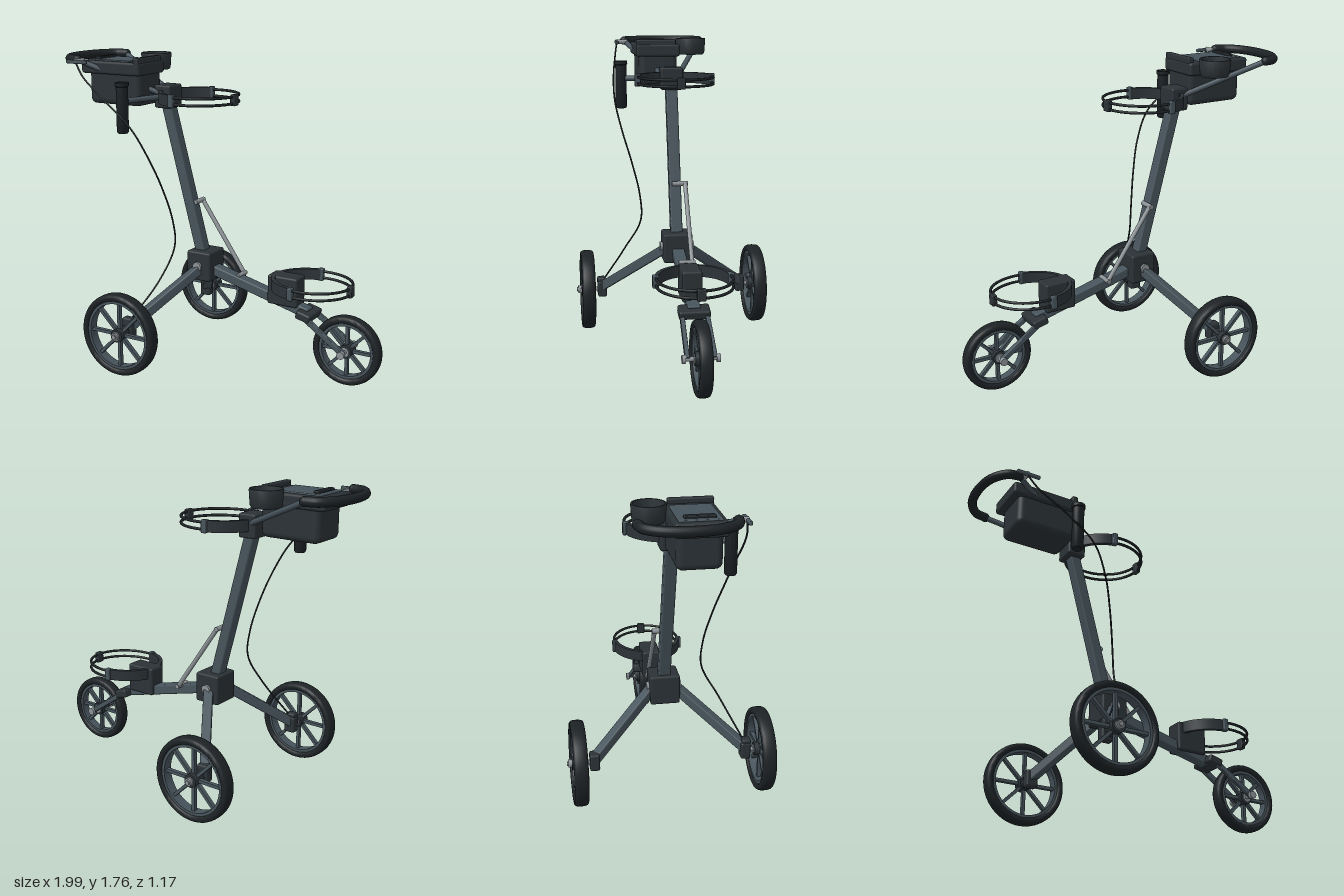
import * as THREE from 'three';
import { RoundedBoxGeometry } from 'three/addons/geometries/RoundedBoxGeometry.js';
import { toCreasedNormals } from 'three/addons/utils/BufferGeometryUtils.js';

const mat = (color) => new THREE.MeshStandardMaterial({ color });
const V = (x, y, z) => new THREE.Vector3(x, y, z);

export function createModel() {
  const model = new THREE.Group();
  const black = mat(0x1d2225), dark = mat(0x2b3236), frame = mat(0x46535b), steel = mat(0x8c9296);

  const add = (name, geo, material, x = 0, y = 0, z = 0, parent = model) => {
    const m = new THREE.Mesh(geo, material);
    m.name = name;
    m.position.set(x, y, z);
    parent.add(m);
    return m;
  };
  // Rounded box from its extents [min, max] on each axis
  const block = (name, material, [x0, x1], [y0, y1], [z0, z1], r = 0.012) =>
    add(name, new RoundedBoxGeometry(x1 - x0, y1 - y0, z1 - z0, 3, r), material,
      (x0 + x1) / 2, (y0 + y1) / 2, (z0 + z1) / 2);
  // Straight square or round bar between two points
  const bar = (name, material, a, b, w, h = w) => {
    const m = add(name, new RoundedBoxGeometry(w, h, a.distanceTo(b), 2, Math.min(w, h) * 0.15), material);
    m.position.copy(a);
    m.lookAt(b);
    m.position.lerp(b, 0.5);
    return m;
  };
  const rod = (name, material, a, b, r) =>
    add(name, new THREE.CylinderGeometry(r, r, a.distanceTo(b), 16), material,
      ...a.clone().add(b).multiplyScalar(0.5)).quaternion
      .setFromUnitVectors(V(0, 1, 0), b.clone().sub(a).normalize());
  const tube = (name, material, pts, r, n = 48, sides = 12) =>
    add(name, new THREE.TubeGeometry(new THREE.CatmullRomCurve3(pts), n, r, sides), material);
  const lathe = (pts, n = 48) =>
    toCreasedNormals(new THREE.LatheGeometry(pts.map(([x, y]) => new THREE.Vector2(x, y)), n), 0.7);

  // Spoked wheel turning about z
  function wheel(name, R, width, x, y, z) {
    const g = new THREE.Group();
    g.name = name;
    g.position.set(x, y, z);
    model.add(g);
    const t = 0.043, soft = (v) => Math.sign(v) * Math.abs(v) ** 0.7;
    const profile = [];
    for (let i = 0; i <= 20; i++) {
      const a = -Math.PI / 2 + (i / 20) * Math.PI * 2;
      profile.push([R - t / 2 + (t / 2) * soft(Math.cos(a)), (width / 2) * soft(Math.sin(a))]);
    }
    const ri = R - t - 0.012, ro = R - t + 0.006, h = width * 0.36;
    add('tyre', lathe(profile, 64).rotateX(Math.PI / 2), black, 0, 0, 0, g);
    add('rim', lathe([[ri, -h], [ro, -h], [ro, h], [ri, h], [ri, -h]], 64).rotateX(Math.PI / 2), frame, 0, 0, 0, g);
    for (let i = 0; i < 8; i++) {
      const spoke = new THREE.BoxGeometry(ri - 0.02, 0.018, 0.024).translate(ri / 2 + 0.012, 0, 0);
      add('spoke', spoke.rotateZ((i * Math.PI) / 4), frame, 0, 0, 0, g);
    }
    add('wheelHub', new THREE.CylinderGeometry(0.038, 0.038, width * 0.95, 24).rotateX(Math.PI / 2), dark, 0, 0, 0, g);
    add('hubCap', new THREE.CylinderGeometry(0.025, 0.025, width + 0.008, 24).rotateX(Math.PI / 2), steel, 0, 0, 0, g);
  }

  // Frame
  block('centreHub', dark, [-0.195, -0.04], [0.48, 0.653], [-0.085, 0.085]);
  bar('mainTube', frame, V(-0.12, 0.58, 0), V(-0.37, 1.52, 0), 0.07, 0.062);
  bar('frontBeam', frame, V(-0.1, 0.552, 0), V(0.56, 0.38, 0), 0.07, 0.058);
  rod('hubPivot', steel, V(-0.12, 0.567, -0.1), V(-0.12, 0.567, 0.1), 0.027);
  rod('foldingStrut', steel, V(-0.17, 0.93, -0.058), V(0.11, 0.525, -0.058), 0.013);
  rod('strutUpperPin', steel, V(-0.175, 0.93, -0.075), V(-0.175, 0.93, 0.02), 0.014);
  rod('strutLowerPin', steel, V(0.11, 0.525, -0.075), V(0.11, 0.525, 0.02), 0.014);

  // Rear legs and wheels, mirrored
  for (const s of [1, -1]) {
    bar('rearLeg', frame, V(-0.12, 0.55, s * 0.07), V(-0.37, 0.26, s * 0.43), 0.055, 0.055);
    block('legFoot', dark, [-0.405, -0.335], [0.2, 0.3], [s * 0.43 - 0.028, s * 0.43 + 0.028]);
    rod('rearAxle', steel, V(-0.37, 0.245, s * 0.43), V(-0.37, 0.245, s * 0.585), 0.013);
    rod('axleNut', steel, V(-0.37, 0.245, s * 0.56), V(-0.37, 0.245, s * 0.578), 0.022);
    wheel('rearWheel', 0.24, 0.08, -0.37, 0.245, s * 0.52);
    // Front fork arm
    bar('forkArm', frame, V(0.55, 0.378, s * 0.067), V(0.8, 0.205, s * 0.072), 0.025, 0.03);
    rod('forkNut', steel, V(0.795, 0.205, s * 0.08), V(0.795, 0.205, s * 0.1), 0.022);
  }
  block('brakeHousing', dark, [-0.4, -0.34], [0.24, 0.32], [0.41, 0.46]);
  const crown = block('forkCrown', dark, [0.51, 0.6], [0.352, 0.4], [-0.085, 0.085]);
  crown.rotation.z = -0.26;
  wheel('frontWheel', 0.2, 0.07, 0.795, 0.205, 0);
  rod('frontAxle', steel, V(0.795, 0.205, -0.09), V(0.795, 0.205, 0.09), 0.012);

  // Bag ring: rigid band at the rear, two cords in front, clips between
  function bagRing(name, cx, cy, a, b, clipX) {
    const clip = Math.acos((clipX - cx) / a), h = 0.064, steps = 32;
    const shape = new THREE.Shape();
    shape.absellipse(0, 0, a, b, clip, 2 * Math.PI - clip, false);
    const inner = new THREE.EllipseCurve(0, 0, a - 0.022, b - 0.022, 2 * Math.PI - clip, clip, true);
    inner.getPoints(steps).forEach((p) => shape.lineTo(p.x, p.y));
    const band = new THREE.ExtrudeGeometry(shape, { depth: h, bevelEnabled: false, curveSegments: steps });
    add(name + 'Band', toCreasedNormals(band.rotateX(-Math.PI / 2), 0.6), dark, cx, cy - h / 2, 0);
    for (const dy of [-0.019, 0.019]) {
      const pts = [];
      for (let i = 0; i <= 16; i++) {
        const t = -clip + (i / 16) * 2 * clip;
        pts.push(V(cx + (a - 0.008) * Math.cos(t), cy + dy, (b - 0.008) * Math.sin(t)));
      }
      tube(name + 'Cord', black, pts, 0.008, 48, 8);
    }
    for (const s of [1, -1])
      block(name + 'SideClip', frame, [clipX - 0.015, clipX + 0.017], [cy - 0.036, cy + 0.036],
        [s * (b - 0.008) - 0.017, s * (b - 0.008) + 0.017], 0.006);
    block(name + 'FrontClip', dark, [cx + a - 0.022, cx + a + 0.008], [cy - 0.032, cy + 0.032], [-0.024, 0.024], 0.006);
  }
  bagRing('lowerRing', 0.575, 0.546, 0.235, 0.21, 0.535);
  bagRing('upperRing', -0.155, 1.541, 0.235, 0.225, -0.205);
  block('lowerBagRest', dark, [0.32, 0.505], [0.41, 0.58], [-0.055, 0.055]);
  block('upperBracket', dark, [-0.42, -0.312], [1.47, 1.603], [-0.066, 0.066]);

  // Handle with two arms
  tube('handleGrip', black, [V(-0.825, 1.74, -0.238), V(-0.89, 1.74, -0.222), V(-0.95, 1.74, -0.14), V(-0.973, 1.74, 0),
    V(-0.95, 1.74, 0.14), V(-0.89, 1.74, 0.222), V(-0.825, 1.74, 0.242)], 0.026, 64, 16);
  for (const s of [1, -1]) {
    rod('handleArm', frame, V(-0.825, 1.738, s * 0.238), V(-0.39, 1.555, s * 0.05), 0.016);
    add('gripEnd', new THREE.SphereGeometry(0.026, 16, 10), black, -0.826, 1.74, s * 0.24);
  }

  // Console tray
  block('consoleBin', dark, [-0.795, -0.44], [1.485, 1.69], [-0.05, 0.182], 0.035);
  block('consoleLid', dark, [-0.835, -0.432], [1.66, 1.735], [-0.065, 0.2], 0.015);
  block('lidPanel', frame, [-0.8, -0.51], [1.725, 1.742], [-0.04, 0.176], 0.006);
  block('lidLatch', black, [-0.77, -0.735], [1.735, 1.755], [-0.01, 0.148], 0.006);
  block('scorecardClip', dark, [-0.472, -0.436], [1.69, 1.762], [-0.04, 0.2], 0.008);

  // Cup holder
  add('cupHolder', lathe([[0, 0], [0.076, 0], [0.084, 0.012], [0.09, 0.09], [0.088, 0.097], [0.08, 0.097],
    [0.074, 0.03], [0, 0.03]]), dark, -0.542, 1.668, -0.145);

  // Umbrella holder on its arm
  add('umbrellaTube', lathe([[0, 0], [0.028, 0], [0.034, 0.01], [0.034, 0.26], [0.039, 0.265], [0.039, 0.285],
    [0.03, 0.285], [0.028, 0.1], [0, 0.1]], 32), black, -0.482, 1.35, 0.29);
  rod('umbrellaArm', frame, V(-0.475, 1.53, 0.275), V(-0.38, 1.535, 0.05), 0.016);

  // Brake lever and cable
  block('brakeLever', frame, [-0.865, -0.725], [1.722, 1.742], [0.28, 0.3], 0.006);
  rod('leverMount', steel, V(-0.8, 1.735, 0.22), V(-0.8, 1.735, 0.295), 0.014);
  tube('brakeCable', black, [V(-0.8, 1.725, 0.29), V(-0.74, 1.65, 0.305), V(-0.56, 1.52, 0.33), V(-0.4, 1.39, 0.333),
    V(-0.31, 1.23, 0.3), V(-0.25, 1.05, 0.25), V(-0.21, 0.86, 0.208), V(-0.2, 0.71, 0.205),
    V(-0.24, 0.53, 0.3), V(-0.37, 0.29, 0.43)], 0.005, 96, 8);

  return model;
}
